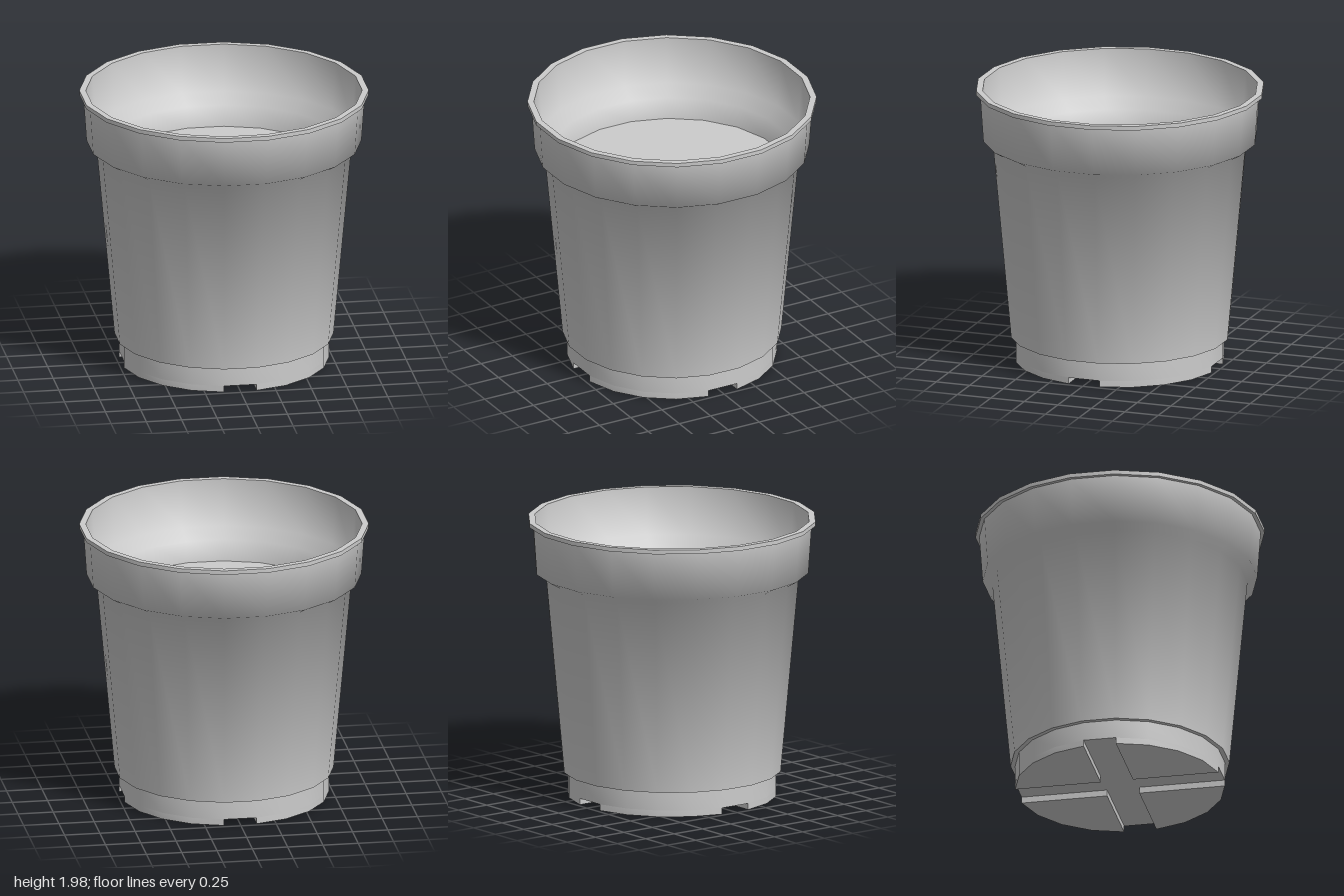
import * as THREE from 'three';
import { toCreasedNormals } from 'three/addons/utils/BufferGeometryUtils.js';

const SIDES = 20;
const HALF = Math.PI / SIDES;      // half a facet, so flats face the axes
const K = 1 / Math.cos(HALF);      // flat distance -> corner radius
const CREASE = 1.1;

export function createModel() {
  const group = new THREE.Group();
  const mat = new THREE.MeshStandardMaterial({ color: 0xcccccc });
  const add = (name, geometry) => {
    const mesh = new THREE.Mesh(geometry, mat);
    mesh.name = name;
    group.add(mesh);
    return mesh;
  };

  // Pot wall: underside, recessed foot, taper, collar, lip, then down the inside
  const profile = [
    [0, 0.045], [0.725, 0.045], [0.725, 0.18], [0.757, 0.18],
    [0.882, 1.57], [0.95, 1.61], [0.973, 1.95], [1, 1.95], [1, 1.98],
    [0.955, 1.98], [0.93, 1.64], [0.835, 1.57], [0.81, 1.42],
  ].map(([r, y]) => new THREE.Vector2(r * K, y));
  add('potWall', toCreasedNormals(new THREE.LatheGeometry(profile, SIDES, HALF), CREASE));

  // Flat fill inside the pot
  const fill = new THREE.CircleGeometry(0.815 * K, SIDES, HALF);
  fill.rotateX(-Math.PI / 2);
  fill.translate(0, 1.422, 0);
  add('innerFloor', fill);

  // Four foot pads, leaving cross-shaped drainage channels between them
  const R = 0.725 * K;
  const inner = R * Math.sin(HALF);
  const pad = new THREE.Shape();
  pad.moveTo(inner, inner);
  for (let i = 0; i < 5; i++) {
    const a = HALF * (1 + 2 * i);
    pad.lineTo(R * Math.cos(a), R * Math.sin(a));
  }
  pad.closePath();
  const padGeo = new THREE.ExtrudeGeometry(pad, { depth: 0.045, bevelEnabled: false });
  padGeo.rotateX(-Math.PI / 2);
  const smoothPad = toCreasedNormals(padGeo, CREASE);
  for (let i = 0; i < 4; i++) {
    add('footPad' + (i + 1), smoothPad).rotation.y = (i * Math.PI) / 2;
  }

  return group;
}
